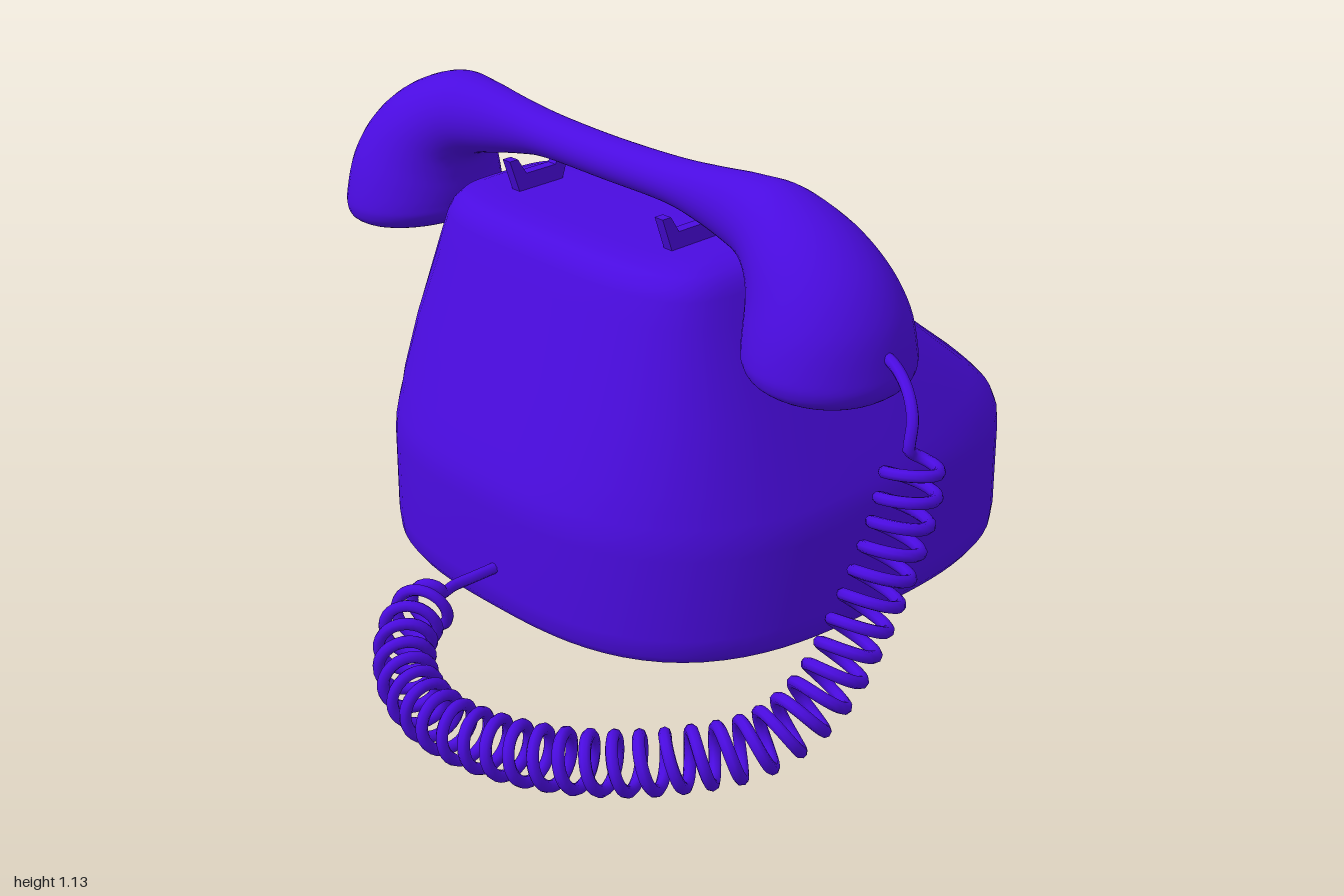
import * as THREE from 'three';

const ZC = -0.135; // centre line of body and handset
const material = new THREE.MeshStandardMaterial({ color: 0x4a0be0, side: THREE.DoubleSide });

function add(parent, name, geometry, x = 0, y = 0, z = 0) {
  const mesh = new THREE.Mesh(geometry, material);
  mesh.name = name;
  mesh.position.set(x, y, z);
  parent.add(mesh);
  return mesh;
}

// Closed skin through rings of equal point count, capped at both ends
function loft(rings) {
  const n = rings[0].length, pos = [], idx = [];
  rings.forEach(r => r.forEach(p => pos.push(p.x, p.y, p.z)));
  for (let j = 0; j < rings.length - 1; j++) {
    for (let i = 0; i < n; i++) {
      const k = (i + 1) % n, a = j * n + i, b = j * n + k;
      idx.push(a, a + n, b, b, a + n, b + n);
    }
  }
  [0, rings.length - 1].forEach((j, end) => {
    const c = new THREE.Vector3();
    rings[j].forEach(p => c.addScaledVector(p, 1 / n));
    const ci = pos.length / 3;
    pos.push(c.x, c.y, c.z);
    for (let i = 0; i < n; i++) {
      const a = j * n + i, b = j * n + (i + 1) % n;
      if (end) idx.push(ci, b, a); else idx.push(ci, a, b);
    }
  });
  const g = new THREE.BufferGeometry();
  g.setAttribute('position', new THREE.Float32BufferAttribute(pos, 3));
  g.setIndex(idx);
  g.computeVertexNormals();
  return g;
}

// Body: rounded-square rings, [y, back x, front x, half depth, squareness]
function bodyGeometry() {
  const levels = [
    [0.025, -0.34, 0.84, 0.55, 2.9], [0.026, -0.39, 0.89, 0.6, 2.9], [0.034, -0.412, 0.912, 0.625, 2.9],
    [0.055, -0.426, 0.926, 0.64, 2.9], [0.1, -0.43, 0.93, 0.645, 2.9], [0.3, -0.43, 0.93, 0.645, 2.9],
    [0.34, -0.427, 0.927, 0.643, 2.9], [0.375, -0.418, 0.908, 0.634, 2.95], [0.41, -0.407, 0.87, 0.621, 3],
    [0.45, -0.394, 0.82, 0.607, 3.1], [0.6, -0.343, 0.622, 0.55, 3.4], [0.8, -0.276, 0.356, 0.469, 3.7],
    [0.86, -0.256, 0.276, 0.445, 3.8], [0.885, -0.244, 0.24, 0.43, 3.8], [0.905, -0.222, 0.2, 0.41, 3.8],
    [0.917, -0.19, 0.15, 0.375, 3.8], [0.92, -0.14, 0.1, 0.32, 3.8],
  ];
  return loft(levels.map(([y, x0, x1, hz, n]) => {
    const ring = [];
    for (let i = 0; i < 96; i++) {
      const a = i / 96 * Math.PI * 2, c = Math.cos(a), s = Math.sin(a);
      const r = 1 / Math.pow(Math.abs(c) ** n + Math.abs(s) ** n, 1 / n);
      ring.push(new THREE.Vector3((x0 + x1) / 2 + c * r * (x1 - x0) / 2, y, ZC + s * r * hz));
    }
    return ring;
  }));
}

// Handset: half of the sections, [outer w, outer y, inner w, inner y, half width]
function handsetGeometry() {
  const half = [
    [0, 1.1, 0, 1.0, 0.054], [0.2, 1.105, 0.2, 1.0, 0.056], [0.34, 1.118, 0.3, 0.985, 0.062],
    [0.45, 1.13, 0.4, 0.962, 0.078], [0.56, 1.128, 0.465, 0.945, 0.104], [0.69, 1.075, 0.495, 0.92, 0.135],
    [0.79, 0.995, 0.503, 0.88, 0.162], [0.848, 0.9, 0.505, 0.84, 0.186], [0.868, 0.8, 0.508, 0.81, 0.2],
    [0.868, 0.757, 0.512, 0.785, 0.2], [0.85, 0.732, 0.532, 0.762, 0.185],
    [0.81, 0.713, 0.58, 0.738, 0.135], [0.73, 0.706, 0.69, 0.712, 0.025],
  ];
  const mirrored = half.slice(1).reverse().map(([a, b, c, d, h]) => [-a, b, -c, d, h]);
  const all = [...mirrored, ...half];
  const outer = new THREE.CatmullRomCurve3(all.map(s => new THREE.Vector3(s[4], s[1], s[0])), false, 'catmullrom');
  const inner = new THREE.CatmullRomCurve3(all.map(s => new THREE.Vector3(0, s[3], s[2])), false, 'catmullrom');
  const rings = [];
  for (let j = 0; j <= 120; j++) {
    const o = outer.getPoint(j / 120), p = inner.getPoint(j / 120), ring = [];
    for (let i = 0; i < 40; i++) {
      const a = -i / 40 * Math.PI * 2, s = Math.sin(a) / 2;
      ring.push(new THREE.Vector3(
        -0.03 + Math.cos(a) * o.x,
        (o.y + p.y) / 2 + s * (o.y - p.y),
        ZC + (o.z + p.z) / 2 + s * (o.z - p.z)));
    }
    rings.push(ring);
  }
  return loft(rings);
}

// Dial: plate with eight finger holes, raised rims and a domed centre
function createDial() {
  const dial = new THREE.Group();
  dial.name = 'dial';
  const plate = new THREE.Shape().absarc(0, 0, 0.32, 0, Math.PI * 2);
  for (let i = 0; i < 8; i++) {
    const a = (i + 0.5) * Math.PI / 4, x = 0.25 * Math.cos(a), y = 0.25 * Math.sin(a);
    plate.holes.push(new THREE.Path().absarc(x, y, 0.045, 0, Math.PI * 2, true));
    add(dial, 'fingerHoleRim', new THREE.TorusGeometry(0.047, 0.009, 8, 28), x, y, 0.016);
  }
  add(dial, 'dialPlate', new THREE.ExtrudeGeometry(plate, {
    depth: 0.036, bevelEnabled: true, bevelSize: 0.004, bevelThickness: 0.004, bevelSegments: 2, curveSegments: 48,
  }), 0, 0, -0.026);
  const dome = [[0.156, 0], [0.156, 0.018], [0.15, 0.024], [0.13, 0.031], [0.09, 0.041], [0.04, 0.048], [0, 0.05]];
  add(dial, 'dialCentre', new THREE.LatheGeometry(dome.map(p => new THREE.Vector2(...p)), 48).rotateX(Math.PI / 2));
  dial.position.set(0.51, 0.685, ZC);
  dial.rotation.set(-Math.PI / 2, 0, -Math.atan2(0.6, 0.8), 'ZYX');
  return dial;
}

// Cradle prong: thin plate with a V notch under the handle
function prongGeometry() {
  const s = new THREE.Shape();
  [[-0.06, 0.9], [0.06, 0.9], [0.095, 1.0], [0.07, 1.0], [0.045, 0.96], [-0.045, 0.96], [-0.07, 1.0], [-0.095, 1.0]]
    .forEach(([x, y], i) => (i ? s.lineTo(x, y) : s.moveTo(x, y)));
  return new THREE.ExtrudeGeometry(s, { depth: 0.026, bevelEnabled: false }).translate(0, 0, -0.013);
}

// Cord: helix wound round a hanging path, with straight leads at both ends
function cordGeometry() {
  const V = (x, y, z) => new THREE.Vector3(x, y, z);
  const path = new THREE.CatmullRomCurve3([
    V(-0.14, 0.71, 0.905), V(-0.19, 0.57, 0.91), V(-0.28, 0.4, 0.905), V(-0.4, 0.24, 0.89), V(-0.52, 0.165, 0.85),
    V(-0.66, 0.13, 0.74), V(-0.77, 0.1, 0.58), V(-0.835, 0.078, 0.4), V(-0.86, 0.075, 0.22),
    V(-0.82, 0.09, 0.06), V(-0.73, 0.125, -0.05), V(-0.6, 0.15, -0.11),
  ]);
  const turns = 34, steps = turns * 14;
  const frames = path.computeFrenetFrames(steps, false);
  const pts = [V(-0.03, 0.84, 0.68), V(-0.04, 0.83, 0.74), V(-0.1, 0.81, 0.84), V(-0.125, 0.77, 0.875)];
  for (let i = 0; i <= steps; i++) {
    const a = i / 14 * Math.PI * 2;
    const r = 0.058 * Math.min(1, 0.4 + i / 12, 0.3 + (steps - i) / 12);
    pts.push(path.getPointAt(i / steps)
      .addScaledVector(frames.normals[i], r * Math.cos(a))
      .addScaledVector(frames.binormals[i], r * Math.sin(a)));
  }
  pts.push(V(-0.55, 0.15, -0.11), V(-0.48, 0.15, -0.11), V(-0.38, 0.15, -0.11));
  const wire = new THREE.CatmullRomCurve3(pts);
  wire.arcLengthDivisions = 3000;
  return new THREE.TubeGeometry(wire, 900, 0.0135, 8, false);
}

export function createModel() {
  const model = new THREE.Group();
  model.name = 'telephone';
  add(model, 'body', bodyGeometry());
  model.add(createDial());
  for (const side of [-1, 1]) add(model, 'cradleProng', prongGeometry(), -0.03, 0, ZC + side * 0.258);
  add(model, 'handset', handsetGeometry());
  add(model, 'coiledCord', cordGeometry());
  return model;
}
